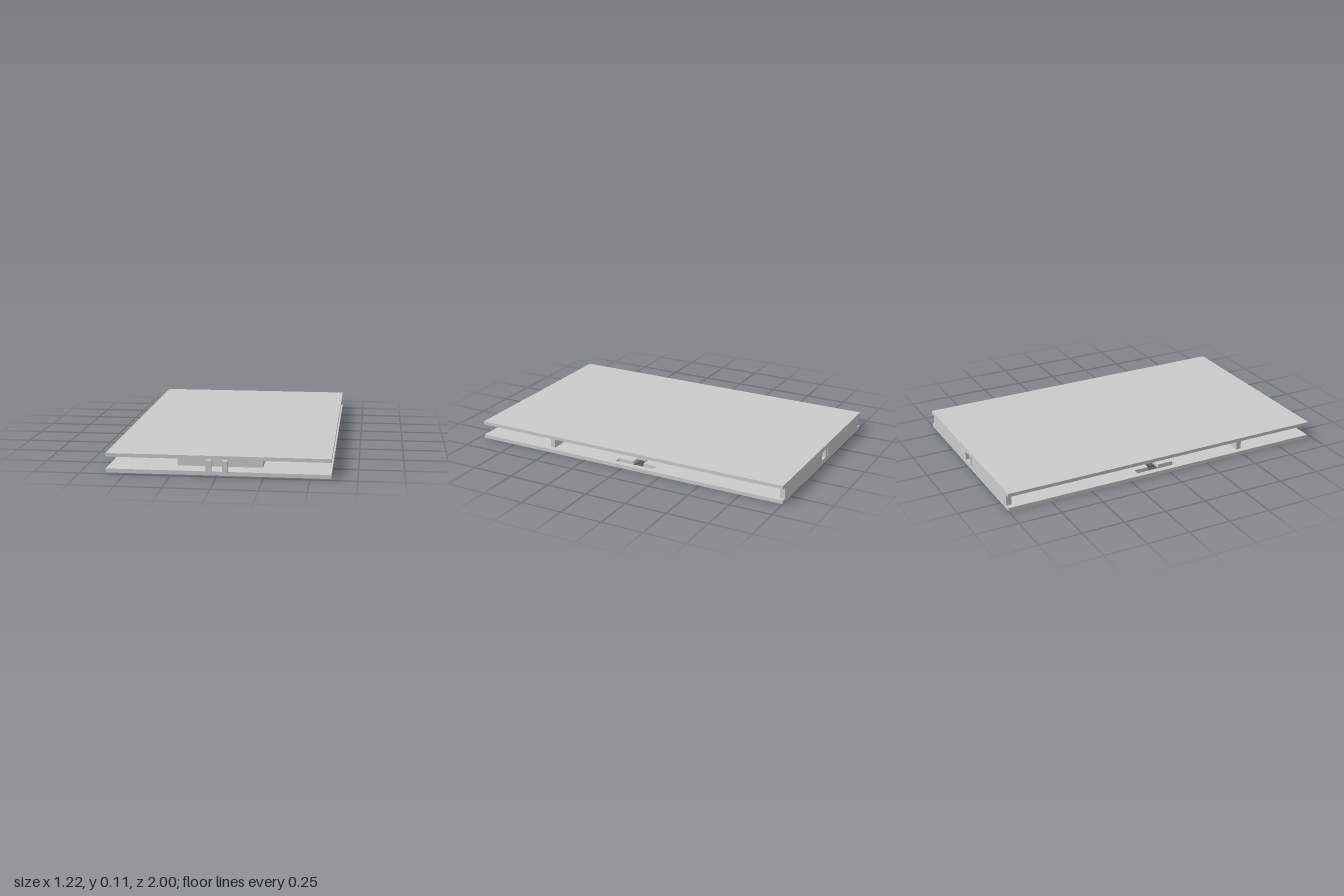
import * as THREE from 'three';

const material = new THREE.MeshStandardMaterial({ color: 0xcccccc, flatShading: true });
const LOW = 0.022, HIGH = 0.088, TOP = 0.108; // heights of the two plate faces and the top
const HALF = 0.61, BACK = -1, FRONT = 0.97;

const points = (list) => list.map(([x, y]) => new THREE.Vector2(x, y));
const rect = (x0, x1, y0, y1) => points([[x0, y0], [x1, y0], [x1, y1], [x0, y1]]);

// Extruded outline with cut-outs
function panel(name, outline, holes, depth) {
  const shape = new THREE.Shape(outline);
  holes.forEach((h) => shape.holes.push(new THREE.Path(h)));
  const geometry = new THREE.ExtrudeGeometry(shape, { depth, bevelEnabled: false });
  const mesh = new THREE.Mesh(geometry, material);
  mesh.name = name;
  return mesh;
}

// Box given by its limits
function block(name, x0, x1, y0, y1, z0, z1) {
  const mesh = new THREE.Mesh(new THREE.BoxGeometry(x1 - x0, y1 - y0, z1 - z0), material);
  mesh.name = name;
  mesh.position.set((x0 + x1) / 2, (y0 + y1) / 2, (z0 + z1) / 2);
  return mesh;
}

export function createModel() {
  const model = new THREE.Group();
  model.name = 'flatCase';

  // T-shaped slots near both long edges of the base (shape y becomes -z)
  const slot = (s) => points([
    [0.575, -0.06], [0.575, 0.19], [0.535, 0.19], [0.535, 0.1],
    [0.415, 0.1], [0.415, 0.035], [0.535, 0.035], [0.535, -0.06],
  ].map(([x, y]) => [x * s, y]));
  const base = panel('basePlate', rect(-HALF, HALF, -FRONT, -BACK), [slot(1), slot(-1)], LOW);
  base.rotation.x = -Math.PI / 2;
  model.add(base, block('topPlate', -HALF, HALF, HIGH, TOP, BACK, FRONT));

  // Back wall with a square port and a narrow slit
  const wall = panel('backWall', rect(-0.58, 0.58, LOW, HIGH),
    [rect(-0.03, 0.03, 0.029, 0.081), rect(-0.062, -0.052, 0.029, 0.081)], 0.03);
  wall.position.z = BACK;
  model.add(wall);

  // Inner spine and front block between the plates
  model.add(block('innerSpine', -0.235, 0.235, LOW, HIGH, -0.85, 0.36));
  model.add(block('frontBlock', -0.235, 0.235, LOW, HIGH, 0.475, 0.855));

  for (const s of [-1, 1]) {
    const add = (name, x0, x1, y0, y1, z0, z1) =>
      model.add(block(name, Math.min(s * x0, s * x1), Math.max(s * x0, s * x1), y0, y1, z0, z1));
    add('frontPost', 0.03, 0.058, LOW, HIGH, FRONT, 1);
    add('sidePost', 0.49, 0.58, LOW, HIGH, 0.475, 0.505);
    add('innerRib', 0.235, 0.355, LOW, HIGH, -0.355, 0.15);
    add('latchTab', 0.38, 0.5, LOW, 0.034, -0.098, -0.037);
  }
  return model;
}
